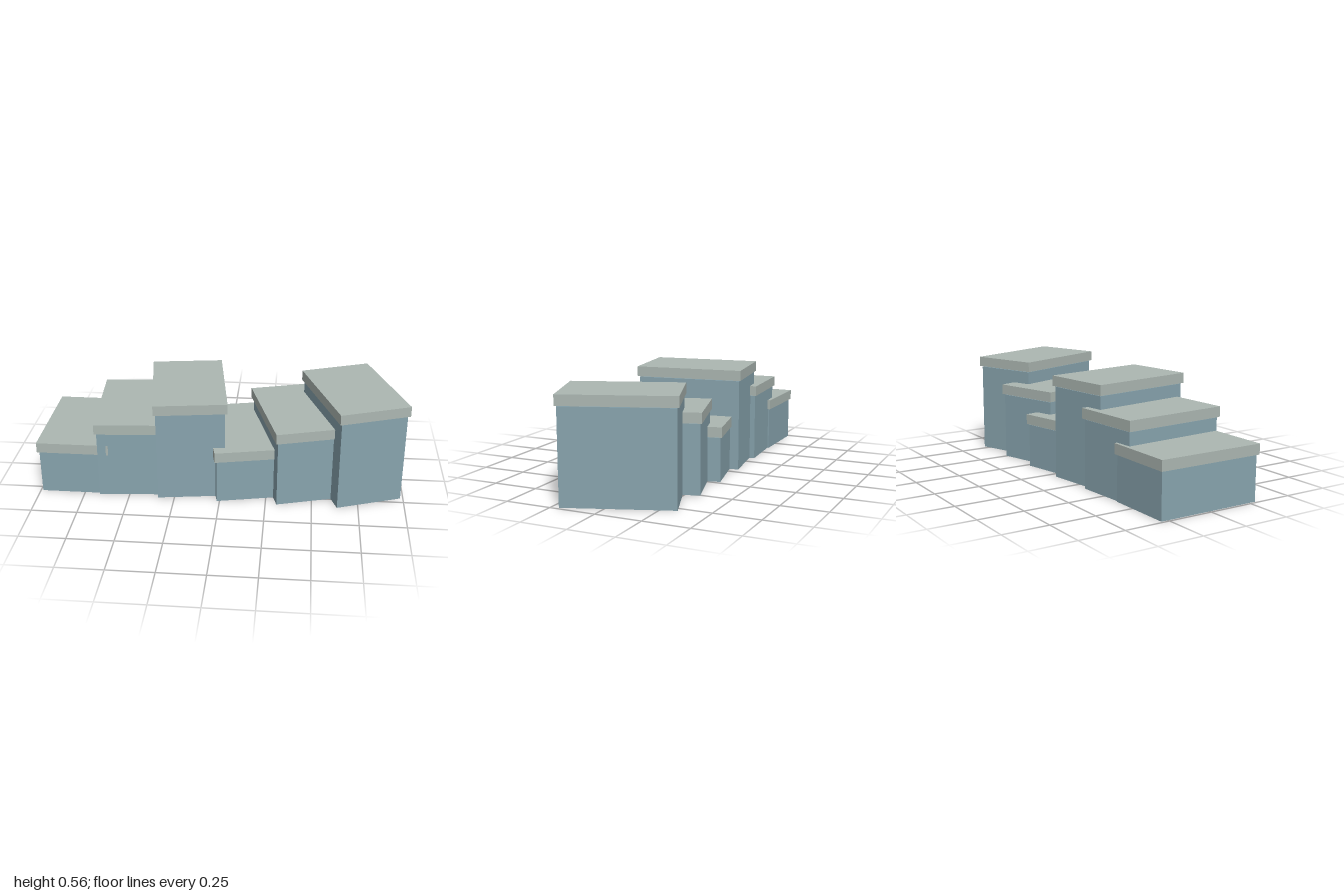
import * as THREE from 'three';

export function createModel() {
  const model = new THREE.Group();
  model.name = 'steppedBlocks';
  const wall = new THREE.MeshStandardMaterial({ name: 'blue grey wall', color: 0x88a4ae });
  const slab = new THREE.MeshStandardMaterial({ name: 'pale stone slab', color: 0xacb7b2 });

  const box = (name, w, h, d, y, material) => {
    const mesh = new THREE.Mesh(new THREE.BoxGeometry(w, h, d), material);
    mesh.name = name;
    mesh.position.y = y + h / 2;
    return mesh;
  };

  // Six blocks in a row, each turned four degrees further; heights repeat in threes
  for (let i = 0; i < 6; i++) {
    const height = 0.24 + 0.13 * (i % 3);
    const block = new THREE.Group();
    block.name = `block${i + 1}`;
    block.add(box('body', 0.37, height, 0.578, 0, wall));
    // Overhanging cap, a hairline above the body
    block.add(box('cap', 0.394, 0.056, 0.596, height + 0.004, slab));
    block.position.x = -0.803 + 0.303 * i;
    block.rotation.y = THREE.MathUtils.degToRad(4 * i);
    model.add(block);
  }
  return model;
}
